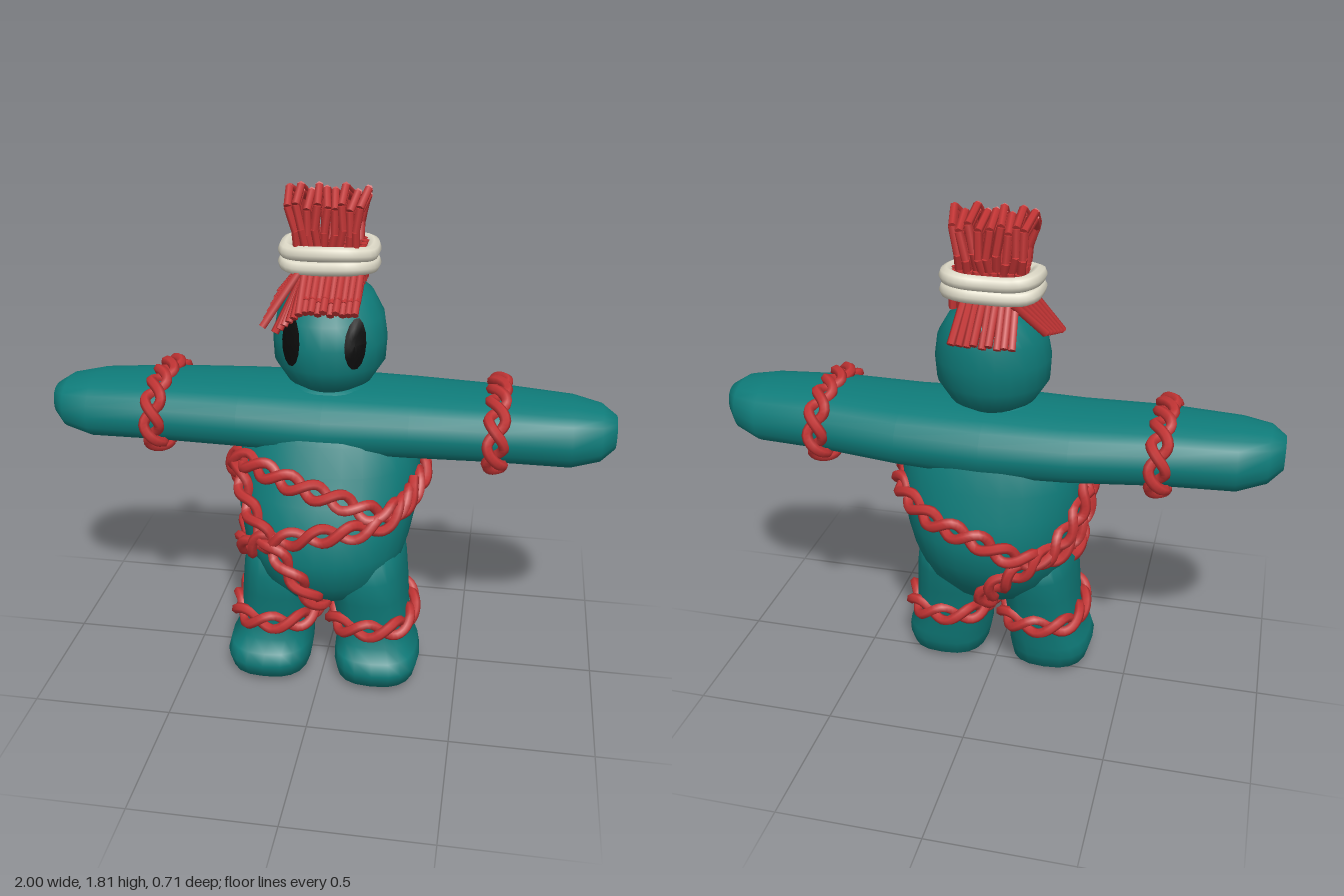
import * as THREE from 'three';
import { mergeGeometries } from 'three/addons/utils/BufferGeometryUtils.js';

const mat = (name, color) => Object.assign(new THREE.MeshStandardMaterial({ color }), { name });
const V = (x, y, z) => new THREE.Vector3(x, y, z);

// Cross-sections: [position, a min, a max, b min, b max].
// Axis y uses a = z and b = x; axis x uses a = y and b = z.
const TORSO = [
  [0.32, -0.06, 0.12, -0.08, 0.08], [0.36, -0.15, 0.24, -0.19, 0.19], [0.45, -0.23, 0.315, -0.27, 0.27],
  [0.55, -0.285, 0.335, -0.3, 0.3], [0.65, -0.305, 0.325, -0.32, 0.32], [0.75, -0.295, 0.285, -0.33, 0.33],
  [0.85, -0.275, 0.24, -0.33, 0.33], [0.95, -0.255, 0.205, -0.31, 0.31], [1.05, -0.21, 0.15, -0.25, 0.25],
  [1.11, -0.12, 0.07, -0.12, 0.12]];
const LEG = [
  [0, -0.02, 0.19, 0.1, 0.29], [0.025, -0.06, 0.265, 0.055, 0.345], [0.08, -0.08, 0.285, 0.045, 0.36],
  [0.125, -0.09, 0.27, 0.045, 0.35], [0.155, -0.095, 0.215, 0.045, 0.33], [0.25, -0.115, 0.23, 0.04, 0.312],
  [0.35, -0.14, 0.245, 0.03, 0.305], [0.45, -0.17, 0.27, 0.02, 0.295], [0.58, -0.18, 0.24, 0.04, 0.27]];
const HALF_ARM = [
  [0.3, 0.87, 1.105, -0.255, 0.185], [0.6, 0.88, 1.105, -0.215, 0.185], [0.85, 0.875, 1.095, -0.175, 0.165],
  [0.95, 0.9, 1.08, -0.12, 0.13], [1, 0.94, 1.05, -0.05, 0.07]];
const ARMS = [
  ...HALF_ARM.map(([x, ...r]) => [-x, ...r]).reverse(),
  [0, 0.86, 1.11, -0.27, 0.2],
  ...HALF_ARM];
const HEAD = [
  [1.085, -0.11, 0.05, -0.07, 0.07], [1.13, -0.185, 0.12, -0.15, 0.15], [1.2, -0.225, 0.16, -0.195, 0.195],
  [1.28, -0.235, 0.162, -0.2, 0.2], [1.36, -0.235, 0.145, -0.187, 0.187], [1.43, -0.215, 0.085, -0.145, 0.145],
  [1.48, -0.16, 0.005, -0.08, 0.08], [1.497, -0.11, -0.05, -0.03, 0.03]];

// Interpolated section at a position along the axis
function sectionAt(sections, pos) {
  let i = 0;
  while (i < sections.length - 2 && sections[i + 1][0] < pos) i++;
  const [s, e] = [sections[i], sections[i + 1]];
  const f = THREE.MathUtils.clamp((pos - s[0]) / (e[0] - s[0]), 0, 1);
  return s.map((v, k) => (k ? v + (e[k] - v) * f : pos));
}

// Point on a rounded section; angle 0 points along a, then turns towards b
function ringPoint([pos, a0, a1, b0, b1], t, axis, power = 2, grow = 0) {
  const soft = (v) => Math.sign(v) * Math.abs(v) ** (2 / power);
  const a = (a0 + a1) / 2 + ((a1 - a0) / 2 + grow) * soft(Math.cos(t));
  const b = (b0 + b1) / 2 + ((b1 - b0) / 2 + grow) * soft(Math.sin(t));
  return axis === 'y' ? V(b, pos, a) : V(pos, a, b);
}

// Capped smooth skin through the sections
function loft(sections, axis, power = 2, n = 20) {
  const pos = [], index = [], last = (sections.length - 1) * n;
  for (const s of sections) {
    for (let j = 0; j < n; j++) pos.push(...ringPoint(s, (j / n) * Math.PI * 2, axis, power).toArray());
  }
  for (const s of [sections[0], sections.at(-1)]) {
    const c = ringPoint(s, 0, axis).add(ringPoint(s, Math.PI, axis)).multiplyScalar(0.5);
    pos.push(...c.toArray());
  }
  for (let j = 0; j < n; j++) {
    const k = (j + 1) % n;
    for (let i = 0; i < last; i += n) index.push(i + j, i + k, i + n + j, i + k, i + n + k, i + n + j);
    index.push(last + n, k, j, last + n + 1, last + j, last + k);
  }
  const g = new THREE.BufferGeometry();
  g.setAttribute('position', new THREE.Float32BufferAttribute(pos, 3));
  g.setIndex(index);
  g.computeVertexNormals();
  return g;
}

// Two flattened strands twisted round a path lying on a body
function rope(points, centre, closed = true) {
  const path = new THREE.CatmullRomCurve3(points, closed);
  const turns = Math.max(2, Math.round(path.getLength() / 0.2));
  const steps = turns * 8;
  const strands = [0, Math.PI].map((shift) => {
    const pts = [];
    for (let i = 0; i < steps + (closed ? 0 : 1); i++) {
      const u = i / steps, p = path.getPointAt(u), tan = path.getTangentAt(u);
      const out = p.clone().sub(centre);
      out.addScaledVector(tan, -out.dot(tan)).normalize();
      const side = tan.clone().cross(out);
      const w = u * turns * Math.PI * 2 + shift;
      pts.push(p.addScaledVector(side, 0.028 * Math.cos(w)).addScaledVector(out, 0.013 * Math.sin(w)));
    }
    return new THREE.TubeGeometry(new THREE.CatmullRomCurve3(pts, closed), steps * 2, 0.019, 6, closed);
  });
  return mergeGeometries(strands);
}

// Straight yarn strand between two points
function strand(a, b, r = 0.014) {
  const d = b.clone().sub(a);
  const g = new THREE.CylinderGeometry(r, r, d.length(), 6);
  g.applyQuaternion(new THREE.Quaternion().setFromUnitVectors(V(0, 1, 0), d.normalize()));
  const m = a.clone().add(b).multiplyScalar(0.5);
  return g.translate(m.x, m.y, m.z);
}

export function createModel() {
  const teal = mat('teal cloth', 0x0f7c7a), red = mat('red yarn', 0xc23434);
  const cream = mat('cream cord', 0xdedac8), black = mat('black eyes', 0x0b0b0b);
  const model = new THREE.Group();
  const add = (name, geometry, material) => {
    const mesh = new THREE.Mesh(geometry, material);
    mesh.name = name;
    model.add(mesh);
    return mesh;
  };

  // Stuffed body
  add('torso', loft(TORSO, 'y', 2.2, 28), teal);
  add('arms', loft(ARMS, 'x', 2.4), teal);
  add('head', loft(HEAD, 'y', 2, 24), teal);
  for (const side of [1, -1]) {
    const label = side > 0 ? 'left' : 'right';
    const leg = LEG.map(([y, z0, z1, x0, x1]) => [y, z0, z1, ...(side > 0 ? [x0, x1] : [-x1, -x0])]);
    add(label + 'Leg', loft(leg, 'y', 2.6), teal);

    // Limb ropes
    const angles = Array.from({ length: 16 }, (_, i) => (i / 16) * Math.PI * 2);
    const arm = sectionAt(ARMS, side * 0.595), shin = sectionAt(leg, 0.25);
    add(label + 'ArmRope', rope(angles.map((t) => ringPoint(arm, t, 'x', 2.4, 0.012)), V(side * 0.595, 0.99, -0.015)), red);
    add(label + 'LegRope', rope(angles.map((t) => ringPoint(shin, t, 'y', 2.6, 0.012)), V(side * 0.176, 0.25, 0.06)), red);

    // Eye, a thin patch curved to the face
    const eye = new THREE.RingGeometry(0.001, 1, 14, 3);
    const p = eye.attributes.position;
    for (let i = 0; i < p.count; i++) {
      const x = side * 0.11 + p.getX(i) * 0.034, y = 1.3 + p.getY(i) * 0.085;
      const [, z0, z1, , hx] = sectionAt(HEAD, y);
      p.setXYZ(i, x, y, (z0 + z1) / 2 + ((z1 - z0) / 2) * Math.sqrt(1 - (x / hx) ** 2) + 0.007);
    }
    eye.computeVertexNormals();
    add(label + 'Eye', eye, black);
  }

  // Torso ropes: [degrees from the front towards the left, height]
  const onTorso = (list) => list.map(([deg, y]) =>
    ringPoint(sectionAt(TORSO, y), THREE.MathUtils.degToRad(deg), 'y', 2.2, 0.014));
  const middle = V(0, 0.68, 0);
  add('chestRope', rope(onTorso([[-50, 0.86], [-20, 0.84], [10, 0.79], [40, 0.73], [65, 0.76], [95, 0.8],
    [125, 0.79], [155, 0.74], [180, 0.7], [205, 0.63], [235, 0.61], [262, 0.7], [287, 0.83]]), middle), red);
  add('bellyRope', rope(onTorso([[-105, 0.56], [-75, 0.52], [-50, 0.56], [-30, 0.62], [0, 0.67], [30, 0.69],
    [52, 0.72], [72, 0.79]]), middle, false), red);
  add('crotchRope', rope([
    ...onTorso([[-62, 0.86], [-48, 0.74], [-30, 0.64], [-14, 0.53], [-4, 0.43], [0, 0.365]]),
    V(0, 0.325, 0.1), V(0, 0.325, -0.06),
    ...onTorso([[180, 0.37], [186, 0.46], [200, 0.55], [222, 0.62], [245, 0.72], [262, 0.82]])], V(0, 0.6, 0.02), false), red);

  // Topknot: folded yarn loops, standing on a bundle
  const loop = [[0.0, 1.57], [0.008, 1.65], [0.005, 1.73], [-0.06, 1.782], [-0.15, 1.74], [-0.155, 1.65], [-0.13, 1.57]];
  const yarn = [];
  for (let i = 0; i < 9; i++) {
    const f = i / 8 - 0.5;
    const wob = 0.012 * Math.sin(i * 2.4);
    for (const scale of [1, 0.82]) {
      const pts = loop.map(([z, y], k) => V(-0.012 + f * (0.19 + (y - 1.57) * 0.32) + 0.008 * Math.sin(k * 2 + i),
        1.67 + (y - 1.67) * scale + wob, -0.072 + (z + 0.072) * scale + wob * 0.5));
      for (let k = 0; k + 1 < pts.length; k++) yarn.push(strand(pts[k], pts[k + 1]));
    }
    for (let k = 0; k < 4; k++) {
      const z = -0.02 - k * 0.042;
      yarn.push(strand(V(f * 0.22, 1.47, z), V(f * 0.22, 1.6, z)));
    }
  }
  add('topknot', mergeGeometries(yarn), red);

  // Loose ends over the brow, the back and the right temple
  const fringe = [];
  for (let i = 0; i < 9; i++) {
    const x = -0.06 + i * 0.021, j = 0.008 * Math.sin(i * 2.7);
    fringe.push(strand(V(x, 1.515, -0.01), V(x, 1.405 + j, 0.135 + j)));
    fringe.push(strand(V(x, 1.5, -0.05), V(x * 1.02, 1.435 + j, 0.1)));
    fringe.push(strand(V(x - 0.04, 1.52, -0.14), V(x * 1.2 - 0.04, 1.38 + j, -0.25 - j)));
  }
  for (let i = 0; i < 6; i++) {
    const z = 0.06 - i * 0.04;
    fringe.push(strand(V(-0.1, 1.51, z - 0.04), V(-0.215 + i * 0.004, 1.335 + i * 0.012, z + 0.03)));
    fringe.push(strand(V(-0.08, 1.51, 0.01), V(-0.17 + i * 0.018, 1.32 + i * 0.016, 0.1 + i * 0.008)));
  }
  add('fringe', mergeGeometries(fringe), red);

  // Cord wound twice round the topknot
  const cord = [1.53, 1.576].map((y, k) => {
    const pts = [];
    for (let i = 0; i < 16; i++) {
      const t = (i / 16) * Math.PI * 2;
      const p = ringPoint([y, -0.188, 0.025, -0.158, 0.14], t, 'y', 3);
      pts.push(p.add(V(0, 0.004 * Math.sin(3 * t + k), 0.006 * Math.sin(4 * t + k))));
    }
    return new THREE.TubeGeometry(new THREE.CatmullRomCurve3(pts, true), 48, 0.027, 8, true);
  });
  add('hairCord', mergeGeometries(cord), cream);

  return model;
}
